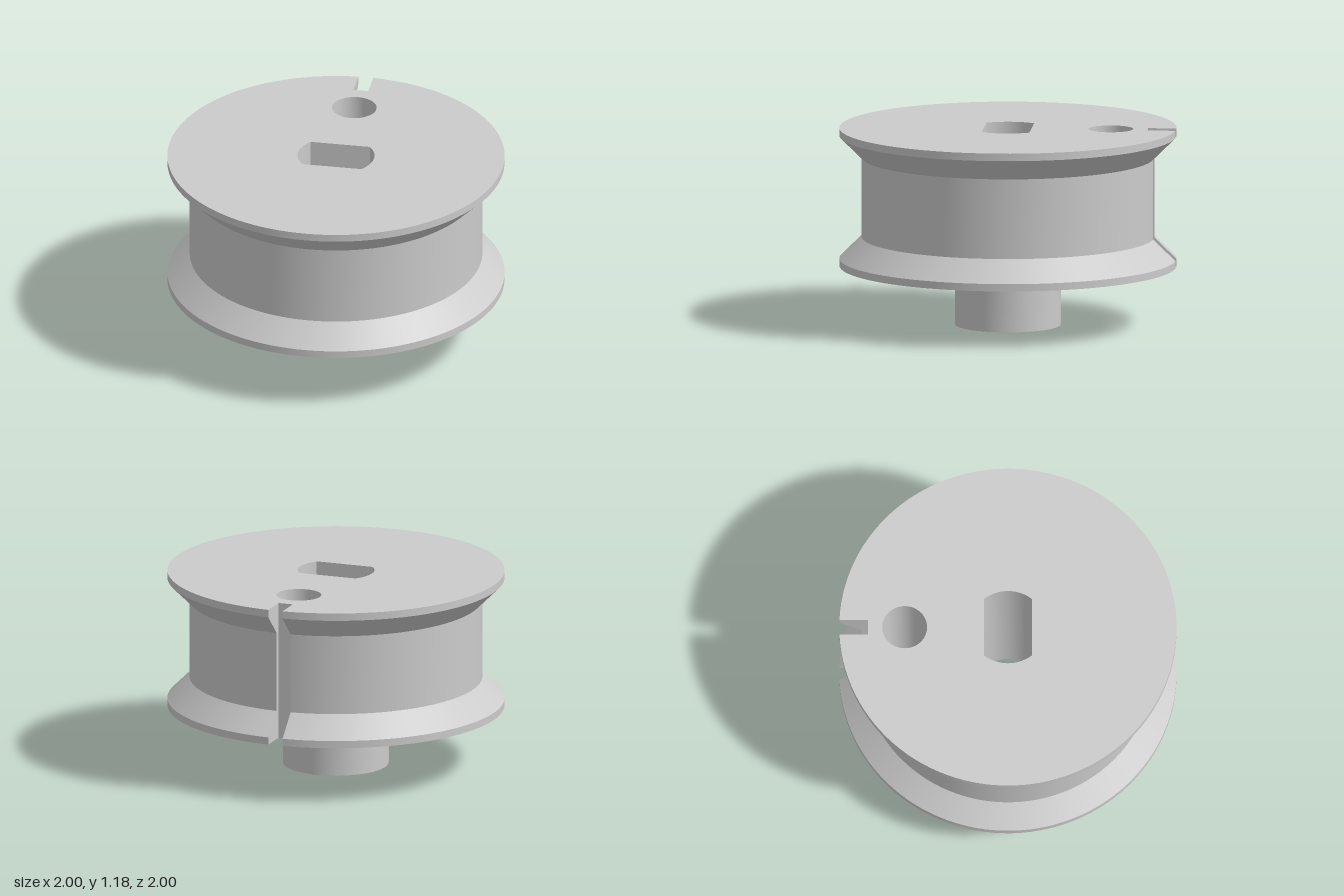
import * as THREE from 'three';
import { toCreasedNormals } from 'three/addons/utils/BufferGeometryUtils.js';

const material = new THREE.MeshStandardMaterial({ color: 0xcccccc });
const BOTTOM = 0.353, TOP = 1.18; // spool faces
const SLOT = 0.045, SLOT_FLOOR = 0.83; // slot half width, distance of its floor from the axis

// Counter-clockwise arc of points; plan coordinates are (x, -z)
function arc(r, from, to, n, cy = 0) {
  return Array.from({ length: n + 1 }, (_, i) => {
    const a = from + (to - from) * i / n;
    return new THREE.Vector2(r * Math.cos(a), cy + r * Math.sin(a));
  });
}
const circle = (r, n, cy = 0) => arc(r, 0, Math.PI * 2, n, cy).slice(0, n);

// Disc outline with the cord slot cut in at the back
function slottedDisc(r) {
  const h = Math.asin(SLOT / r);
  return [
    ...arc(r, Math.PI / 2 + h, Math.PI * 2.5 - h, 112),
    new THREE.Vector2(SLOT, SLOT_FLOOR),
    new THREE.Vector2(-SLOT, SLOT_FLOOR),
  ];
}

// Round bore with two flats
function boreOutline() {
  const r = 0.228, a = Math.asin(0.142 / r);
  return [...arc(r, -a, a, 14), ...arc(r, Math.PI - a, Math.PI + a, 14)];
}

// Wall through a stack of [outline, height]; inward walls line a hole
function wall(name, sections, inward = false) {
  const pos = [];
  for (let s = 0; s < sections.length - 1; s++) {
    const [lo, y0] = sections[s], [hi, y1] = sections[s + 1];
    for (let i = 0; i < lo.length; i++) {
      const j = (i + 1) % lo.length;
      const q = [[lo[i], y0], [lo[j], y0], [hi[j], y1], [hi[i], y1]];
      for (const k of inward ? [0, 2, 1, 0, 3, 2] : [0, 1, 2, 0, 2, 3]) {
        pos.push(q[k][0].x, q[k][1], -q[k][0].y);
      }
    }
  }
  const g = new THREE.BufferGeometry();
  g.setAttribute('position', new THREE.Float32BufferAttribute(pos, 3));
  return named(name, toCreasedNormals(g, Math.PI / 6));
}

// Flat face with holes, looking up or down
function face(name, outline, holes, y, down = false) {
  const shape = new THREE.Shape(outline);
  shape.holes = holes.map((h) => new THREE.Path(h));
  const g = new THREE.ShapeGeometry(shape).rotateX(-Math.PI / 2).translate(0, y, 0);
  if (down) {
    g.index.array.reverse();
    g.computeVertexNormals();
  }
  return named(name, g);
}

function named(name, geometry) {
  const mesh = new THREE.Mesh(geometry, material);
  mesh.name = name;
  return mesh;
}

export function createModel() {
  const model = new THREE.Group();
  model.name = 'spool';

  const rim = slottedDisc(1), drum = slottedDisc(0.868);
  const bore = boreOutline(), pin = circle(0.133, 48, 0.612), hub = circle(0.313, 64);

  // Flanges, bevels, drum and slot
  model.add(wall('slottedDrum', [
    [rim, BOTTOM], [rim, 0.397], [drum, 0.527], [drum, 1.005], [rim, 1.135], [rim, TOP],
  ]));
  model.add(face('topFace', rim, [bore, pin], TOP));
  model.add(face('bottomFace', rim, [hub, pin], BOTTOM, true));

  // Hub under the spool
  model.add(wall('hub', [[hub, 0], [hub, BOTTOM]]));
  model.add(face('hubEnd', hub, [bore], 0, true));

  // Through holes
  model.add(wall('shaftBore', [[bore, 0], [bore, TOP]], true));
  model.add(wall('pinHole', [[pin, BOTTOM], [pin, TOP]], true));

  return model;
}
